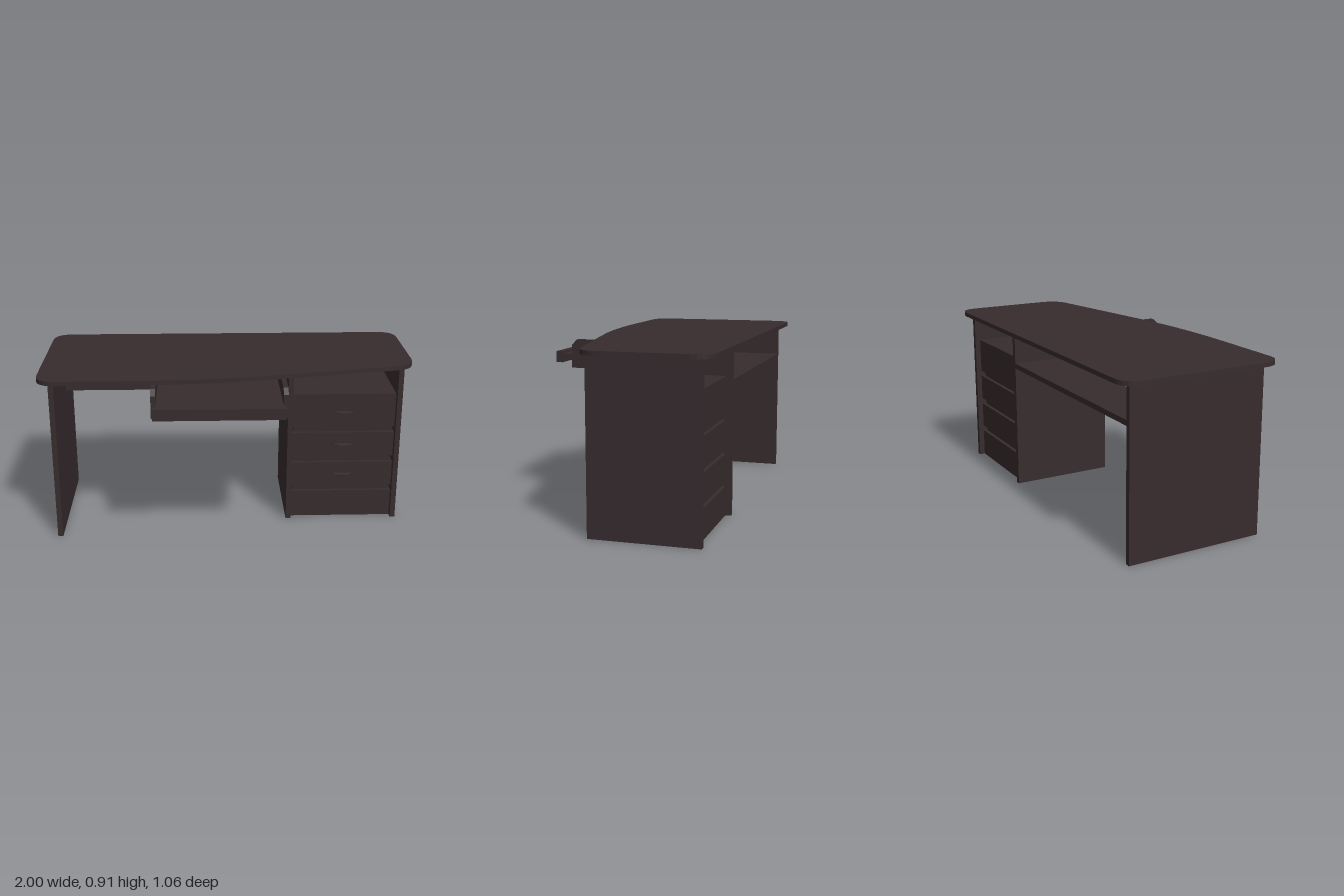
import * as THREE from 'three';

export function createModel() {
  const desk = new THREE.Group();
  desk.name = 'desk';
  const wood = new THREE.MeshStandardMaterial({ color: 0x372c2e });
  wood.name = 'dark wood';

  const add = (name, geometry) => {
    const mesh = new THREE.Mesh(geometry, wood);
    mesh.name = name;
    desk.add(mesh);
    return mesh;
  };
  // Box given by its minimum and maximum on each axis
  const box = (name, x0, x1, y0, y1, z0, z1) =>
    add(name, new THREE.BoxGeometry(x1 - x0, y1 - y0, z1 - z0)
      .translate((x0 + x1) / 2, (y0 + y1) / 2, (z0 + z1) / 2));

  // Desktop: rounded corners, with a front edge that sweeps back to the right
  const top = new THREE.Shape();
  top.moveTo(-0.9, -0.53);
  top.lineTo(0.9, -0.53);
  top.quadraticCurveTo(1, -0.53, 1, -0.42);
  top.lineTo(1, 0.01);
  top.quadraticCurveTo(1, 0.12, 0.9, 0.14);
  top.lineTo(0.3, 0.26);
  top.bezierCurveTo(0.02, 0.316, -0.2, 0.345, -0.52, 0.345);
  top.lineTo(-0.9, 0.345);
  top.quadraticCurveTo(-1, 0.345, -1, 0.235);
  top.lineTo(-1, -0.42);
  top.quadraticCurveTo(-1, -0.53, -0.9, -0.53);
  add('desktop', new THREE.ExtrudeGeometry(top, { depth: 0.023, bevelEnabled: false, curveSegments: 6 })
    .rotateX(Math.PI / 2).translate(0, 0.913, 0));

  // Upright panels and the shelf along the back
  box('sidePanelRight', -0.94, -0.912, 0, 0.89, -0.47, 0.28);
  box('middlePanel', 0.325, 0.353, 0, 0.89, -0.47, 0.1);
  box('sidePanelLeft', 0.92, 0.948, 0, 0.89, -0.47, 0.1);
  box('backShelf', -0.912, 0.325, 0.685, 0.713, -0.47, -0.18);

  // Drawers stacked over a plinth, with narrower recessed rails between
  const levels = [[0, 0.155], [0.187, 0.33], [0.364, 0.508], [0.54, 0.733]];
  levels.forEach(([y0, y1], i) => {
    box(i ? 'drawer' : 'plinth', 0.353, 0.92, y0, y1, -0.44, 0.065);
    if (!i) return;
    box('drawerRail', 0.365, 0.908, levels[i - 1][1], y0, -0.42, 0.045);
    add('drawerHandle', new THREE.SphereGeometry(1, 10, 6)
      .scale(0.06, 0.006, 0.025)
      .translate(0.637, [0, 0.26, 0.438, 0.628][i], 0.067));
  });

  // Hanging brackets with a clipped front corner
  const side = new THREE.Shape([[-0.09, 0.737], [0.43, 0.737], [0.43, 0.86], [0.4, 0.89], [-0.09, 0.89]]
    .map(([z, y]) => new THREE.Vector2(-z, y)).reverse());
  for (const x of [-0.405, 0.27])
    add('trayBracket', new THREE.ExtrudeGeometry(side, { depth: 0.025, bevelEnabled: false })
      .rotateY(Math.PI / 2).translate(x, 0, 0));

  // Pull-out tray with a front lip
  box('tray', -0.38, 0.27, 0.776, 0.81, 0, 0.49);
  box('trayLip', -0.393, 0.28, 0.762, 0.822, 0.49, 0.527);

  return desk;
}
